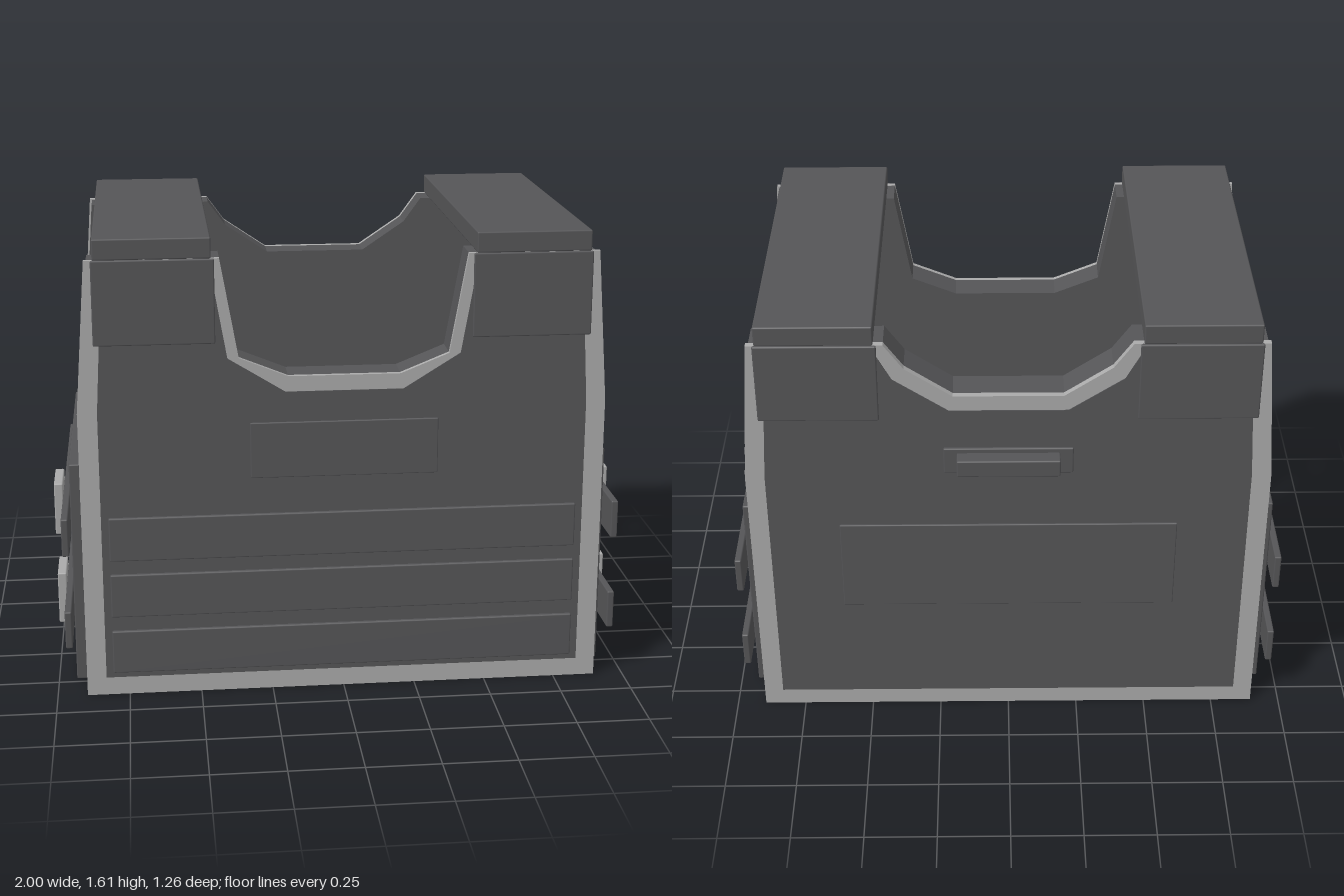
import * as THREE from 'three';
import { RoundedBoxGeometry } from 'three/addons/geometries/RoundedBoxGeometry.js';

export function createModel() {
  const vest = new THREE.Group();
  vest.name = 'vest';
  const dark = new THREE.MeshStandardMaterial({ color: 0x555557 });
  dark.name = 'darkFabric';
  const light = new THREE.MeshStandardMaterial({ color: 0xaaaaaa });
  light.name = 'lightTrim';

  // Softened box given by its limits on each axis
  function box(name, mat, [x0, x1], [y0, y1], [z0, z1]) {
    const w = x1 - x0, h = y1 - y0, d = z1 - z0;
    const r = Math.min(0.005, Math.min(w, h, d) * 0.3);
    const mesh = new THREE.Mesh(new RoundedBoxGeometry(w, h, d, 1, r), mat);
    mesh.position.set((x0 + x1) / 2, (y0 + y1) / 2, (z0 + z1) / 2);
    mesh.name = name;
    vest.add(mesh);
  }

  // Symmetrical plate from its right half outline, extruded from z0 to z1
  function plate(name, mat, half, z0, z1) {
    const mirrored = half.map(([x, y]) => [-x, y]).reverse();
    const shape = new THREE.Shape([...half, ...mirrored].map(([x, y]) => new THREE.Vector2(x, y)));
    const geo = new THREE.ExtrudeGeometry(shape, { depth: z1 - z0, bevelEnabled: false });
    geo.translate(0, 0, z0);
    const mesh = new THREE.Mesh(geo, mat);
    mesh.name = name;
    vest.add(mesh);
  }

  // Neck cut-outs: opening edge and the inner edge of its trim
  const frontNeck = [[0.415, 1.54], [0.355, 1.2], [0.19, 1.133]];
  const frontTrim = [[0.45, 1.53], [0.393, 1.2], [0.2, 1.08]];
  const backNeck = [[0.41, 1.54], [0.345, 1.45], [0.185, 1.342]];
  const backTrim = [[0.45, 1.53], [0.385, 1.41], [0.2, 1.287]];
  const bodySide = [[0.888, 0.005], [0.888, 1.02], [0.85, 1.535]];
  const trimSide = [[0.897, 0], [0.897, 1.02], [0.858, 1.54]];
  const faceSide = [[0.83, 0.065], [0.83, 1.02], [0.8, 1.53]];

  // Front and back panels, each a thick body, light border and dark face
  plate('frontPanel', dark, [...bodySide, ...frontNeck], 0.495, 0.6);
  plate('frontBorder', light, [...trimSide, ...frontNeck], 0.6, 0.617);
  plate('frontFace', dark, [...faceSide, ...frontTrim], 0.616, 0.62);
  plate('backPanel', dark, [...bodySide, ...backNeck], -0.545, -0.44);
  plate('backBorder', light, [...trimSide, ...backNeck], -0.567, -0.545);
  plate('backFace', dark, [...faceSide, ...backTrim], -0.57, -0.566);

  // Front bands and name patch
  for (const y of [0.085, 0.292, 0.497]) {
    box('frontBand', dark, [-0.805, 0.805], [y, y + 0.155], [0.615, 0.632]);
  }
  box('chestPatch', dark, [-0.32, 0.32], [0.78, 0.975], [0.615, 0.627]);

  // Back patch and carrying handle
  box('backPatch', dark, [-0.585, 0.585], [0.47, 0.82], [-0.577, -0.565]);
  box('handleBase', dark, [-0.22, 0.22], [1.04, 1.14], [-0.58, -0.565]);
  box('handle', dark, [-0.175, 0.175], [1.06, 1.123], [-0.632, -0.575]);

  for (const side of [1, -1]) {
    const span = (a, b) => (side > 0 ? [a, b] : [-b, -a]);

    // Shoulder strap with its front and back flaps
    box('shoulderStrap', dark, span(0.442, 0.83), [1.54, 1.61], [-0.57, 0.62]);
    box('frontShoulderFlap', dark, span(0.432, 0.836), [1.253, 1.54], [0.61, 0.626]);
    box('backShoulderFlap', dark, span(0.432, 0.836), [1.253, 1.54], [-0.576, -0.56]);

    // Side panel with two buckled straps
    box('sidePanel', dark, span(0.898, 0.937), [0.005, 0.803], [-0.437, 0.488]);
    for (const y of [0.168, 0.507]) {
      box('sideStrap', dark, span(0.943, 0.967), [y, y + 0.135], [-0.542, 0.595]);
      box('buckle', light, span(0.968, 1), [y - 0.026, y + 0.164], [0.118, 0.295]);
      box('buckleClip', light, span(0.966, 0.996), [y + 0.026, y + 0.11], [0.048, 0.114]);
    }
  }
  return vest;
}
